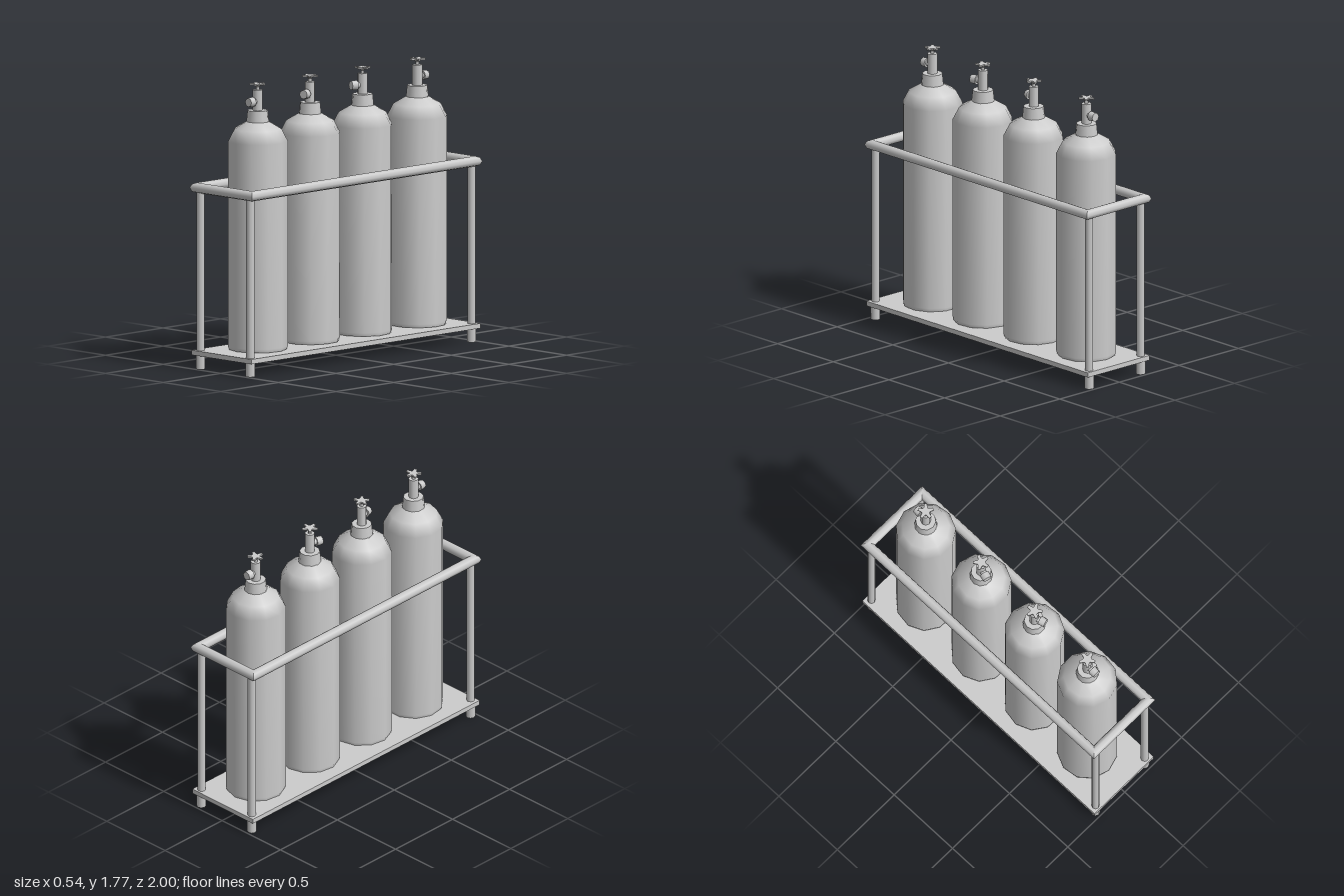
import * as THREE from 'three';

const grey = new THREE.MeshStandardMaterial({ color: 0xcccccc, side: THREE.DoubleSide });

function add(parent, name, geometry, x = 0, y = 0, z = 0) {
  const mesh = new THREE.Mesh(geometry, grey);
  mesh.name = name;
  mesh.position.set(x, y, z);
  parent.add(mesh);
  return mesh;
}

// Upright cylinder between two heights
function post(parent, name, r0, r1, y0, y1, sides, x = 0, z = 0) {
  return add(parent, name, new THREE.CylinderGeometry(r1, r0, y1 - y0, sides), x, (y0 + y1) / 2, z);
}

// Round bar whose ends are mitred at 45 degrees; local +x is the outer side
function mitredBar(half, r) {
  const g = new THREE.CylinderGeometry(r, r, 2 * half, 8, 1, true);
  const p = g.attributes.position;
  for (let i = 0; i < p.count; i++) {
    p.setY(i, Math.sign(p.getY(i)) * (half + p.getX(i)));
  }
  return g.rotateX(Math.PI / 2);
}

// Five-lobed handwheel
function handwheelGeometry() {
  const shape = new THREE.Shape();
  for (let i = 0; i < 20; i++) {
    const r = [0.05, 0.05, 0.026, 0.026][i % 4];
    const a = (i / 20) * Math.PI * 2;
    if (i === 0) shape.moveTo(r * Math.cos(a), r * Math.sin(a));
    else shape.lineTo(r * Math.cos(a), r * Math.sin(a));
  }
  return new THREE.ExtrudeGeometry(shape, { depth: 0.01, bevelEnabled: false }).rotateX(-Math.PI / 2);
}

function gasCylinder(turn) {
  const bottle = new THREE.Group();
  bottle.name = 'gasCylinder';

  // Tank with sloped shoulders
  const profile = [[0, 0.118], [0.18, 0.118], [0.186, 0.14], [0.186, 1.41], [0.147, 1.485], [0.07, 1.53], [0, 1.53]];
  const shell = new THREE.LatheGeometry(profile.slice(1, -1).map(([x, y]) => new THREE.Vector2(x, y)), 11);
  add(bottle, 'tank', shell);
  add(bottle, 'tankBase', new THREE.CircleGeometry(0.18, 11).rotateX(Math.PI / 2).rotateY(Math.PI / 2), 0, 0.118, 0);

  // Neck and valve
  post(bottle, 'neckCollar', 0.071, 0.063, 1.52, 1.6, 10);
  post(bottle, 'valveBody', 0.031, 0.031, 1.59, 1.727, 8);
  post(bottle, 'valveSpindle', 0.012, 0.012, 1.72, 1.762, 6);
  post(bottle, 'handwheelHub', 0.012, 0.025, 1.745, 1.758, 8);
  add(bottle, 'handwheel', handwheelGeometry(), 0, 1.757, 0);

  // Side outlet with nut
  const outlet = new THREE.CylinderGeometry(0.02, 0.02, 0.06, 8).rotateX(Math.PI / 2);
  add(bottle, 'outletPipe', outlet, 0, 1.655, 0.03);
  const nut = new THREE.CylinderGeometry(0.028, 0.031, 0.04, 8).rotateX(Math.PI / 2);
  add(bottle, 'outletNut', nut, 0, 1.655, 0.061);

  bottle.rotation.y = turn;
  return bottle;
}

export function createModel() {
  const model = new THREE.Group();
  model.name = 'cylinderRack';

  // Floor tray
  add(model, 'tray', new THREE.BoxGeometry(0.52, 0.03, 1.99), 0, 0.1, 0);

  // Legs and uprights at the four corners
  for (const x of [-0.216, 0.216]) {
    for (const z of [-0.96, 0.96]) {
      post(model, 'leg', 0.029, 0.029, 0, 0.09, 8, x, z);
      post(model, 'upright', 0.025, 0.025, 0.1, 1.115, 8, x, z);
    }
  }

  // Top rail, mitred at the corners
  const railY = 1.123, railX = 0.238, railZ = 0.968, railR = 0.032;
  for (const s of [1, -1]) {
    const side = add(model, 'sideRail', mitredBar(railZ, railR), s * railX, railY, 0);
    side.rotation.y = s > 0 ? 0 : Math.PI;
    const end = add(model, 'endRail', mitredBar(railX, railR), 0, railY, s * railZ);
    end.rotation.y = -s * Math.PI / 2;
  }

  // Row of gas cylinders, each turned a little differently
  const row = [[0.68, 0], [0.225, 0.25], [-0.23, -0.3], [-0.705, Math.PI]];
  for (const [z, turn] of row) {
    const bottle = gasCylinder(turn);
    bottle.position.z = z;
    model.add(bottle);
  }
  return model;
}
